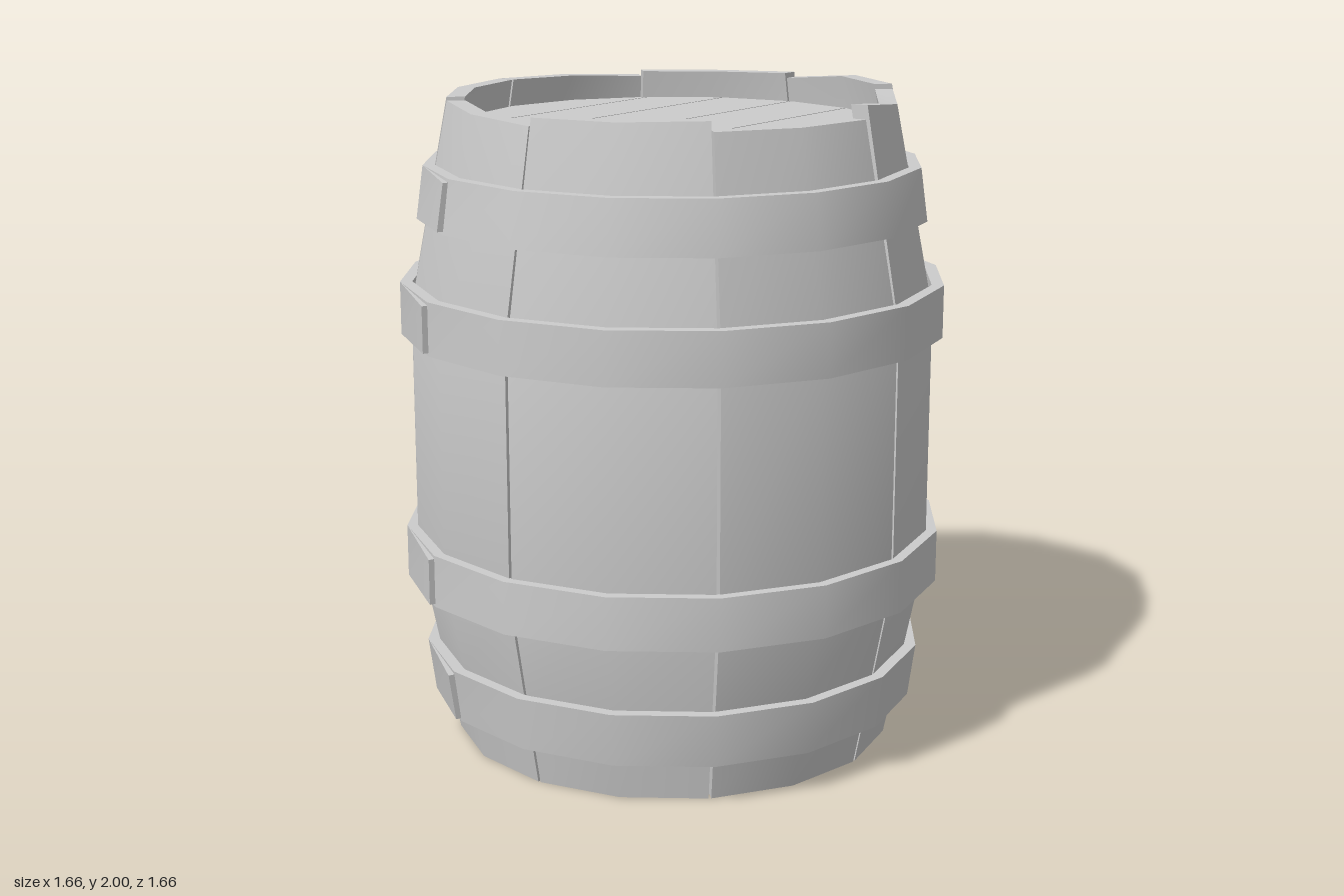
import * as THREE from 'three';
import { toCreasedNormals } from 'three/addons/utils/BufferGeometryUtils.js';

const STEP = Math.PI / 8; // 16-sided barrel
const material = new THREE.MeshStandardMaterial({ color: 0xcccccc });

// Sweeps [radius, y] loops (outer side upwards, then inner side downwards) around y.
function sweep(sections) {
  const n = sections[0].loop.length;
  const points = [], index = [];
  for (const { angle, loop } of sections)
    for (const [r, y] of loop) points.push(r * Math.sin(angle), y, r * Math.cos(angle));
  const quad = (a, b, c, d) => index.push(a, b, c, a, c, d);
  for (let s = 0; s < sections.length - 1; s++)
    for (let i = 0; i < n; i++) {
      const j = (i + 1) % n;
      quad(s * n + i, (s + 1) * n + i, (s + 1) * n + j, s * n + j);
    }
  // end caps
  const e = (sections.length - 1) * n;
  for (let i = 0; i < n / 2 - 1; i++) {
    quad(i, i + 1, n - 2 - i, n - 1 - i);
    quad(e + n - 1 - i, e + n - 2 - i, e + i + 1, e + i);
  }
  const geometry = new THREE.BufferGeometry();
  geometry.setAttribute('position', new THREE.Float32BufferAttribute(points, 3));
  geometry.setIndex(index);
  return toCreasedNormals(geometry, 0.55);
}

function add(parent, name, geometry) {
  const mesh = new THREE.Mesh(geometry, material);
  mesh.name = name;
  parent.add(mesh);
  return mesh;
}

// Bulging stave cross-section with its own top height
function staveLoop(top) {
  const outer = [[0.68, 0], [0.74, 0.3], [0.797, 0.59], [0.797, 1.36], [0.677, top]];
  const inner = outer.map(([r, y]) => [r - 0.055, y]).reverse();
  return [...outer, ...inner];
}

// Hoop with one overlapping, slightly tapered end
function hoopGeometry(y0, y1, r0, r1) {
  const loop = (out, pinch) => [
    [r0 + out, y0 + pinch], [r1 + out, y1 - pinch],
    [r1 + out - 0.037, y1 - pinch], [r0 + out - 0.037, y0 + pinch]];
  const sections = [];
  for (let k = -2; k <= 14; k++) sections.push({ angle: k * STEP, loop: loop(0, 0) });
  sections.push({ angle: 15 * STEP, loop: loop(0.018, 0.01) });
  return sweep(sections);
}

// Round end made of planks running front to back
function headBoards(name, radius, y, thickness) {
  const group = new THREE.Group();
  group.name = name;
  const corners = [];
  for (let k = -4; k <= 4; k++) corners.push([radius * Math.sin(k * STEP), radius * Math.cos(k * STEP)]);
  const halfLength = (x) => {
    const i = Math.min(7, corners.findIndex((c, k) => k === 8 || x <= corners[k + 1][0]));
    const [a, b] = [corners[i], corners[i + 1]];
    return a[1] + (b[1] - a[1]) * (x - a[0]) / (b[0] - a[0]);
  };
  const cuts = [-radius, -0.44, -0.235, 0, 0.24, 0.44, radius];
  for (let i = 0; i < 6; i++) {
    const x0 = cuts[i] + (i > 0 ? 0.003 : 0), x1 = cuts[i + 1] - (i < 5 ? 0.003 : 0);
    const xs = [x0, ...corners.map((c) => c[0]).filter((x) => x > x0 + 0.001 && x < x1 - 0.001), x1];
    const edge = xs.map((x) => new THREE.Vector2(x, halfLength(x)));
    const back = edge.map((p) => new THREE.Vector2(p.x, -p.y)).reverse();
    const geometry = new THREE.ExtrudeGeometry(new THREE.Shape([...edge, ...back]),
      { depth: thickness, bevelEnabled: false });
    geometry.rotateX(-Math.PI / 2);
    add(group, 'headPlank', geometry);
  }
  group.position.y = y;
  group.rotation.y = -0.017;
  return group;
}

export function createModel() {
  const barrel = new THREE.Group();
  barrel.name = 'barrel';

  // Eight staves with uneven tops (start, middle, end heights)
  const tops = [
    [1.98, 1.98, 1.985], [1.955, 1.955, 1.955], [1.995, 1.97, 1.985], [2, 2, 1.975],
    [1.99, 1.985, 1.985], [1.97, 1.98, 1.985], [1.985, 1.985, 1.985], [1.975, 1.965, 1.955]];
  const staves = new THREE.Group();
  staves.name = 'staves';
  tops.forEach((heights, i) => {
    const gaps = [0.006, 0, -0.006];
    add(staves, 'stave', sweep(heights.map((top, j) => ({
      angle: (2 * i + j) * STEP + gaps[j], loop: staveLoop(top) }))));
  });
  barrel.add(staves);

  // Four hoops: y bottom, y top, radius bottom, radius top
  const hoops = new THREE.Group();
  hoops.name = 'hoops';
  for (const h of [[0.13, 0.295, 0.753, 0.775], [0.51, 0.67, 0.83, 0.83],
    [1.275, 1.435, 0.83, 0.83], [1.625, 1.785, 0.775, 0.753]]) add(hoops, 'hoop', hoopGeometry(...h));
  barrel.add(hoops);

  // Top and bottom heads
  barrel.add(headBoards('topHead', 0.635, 1.86, 0.04));
  barrel.add(headBoards('bottomHead', 0.63, 0.035, 0.04));
  return barrel;
}
